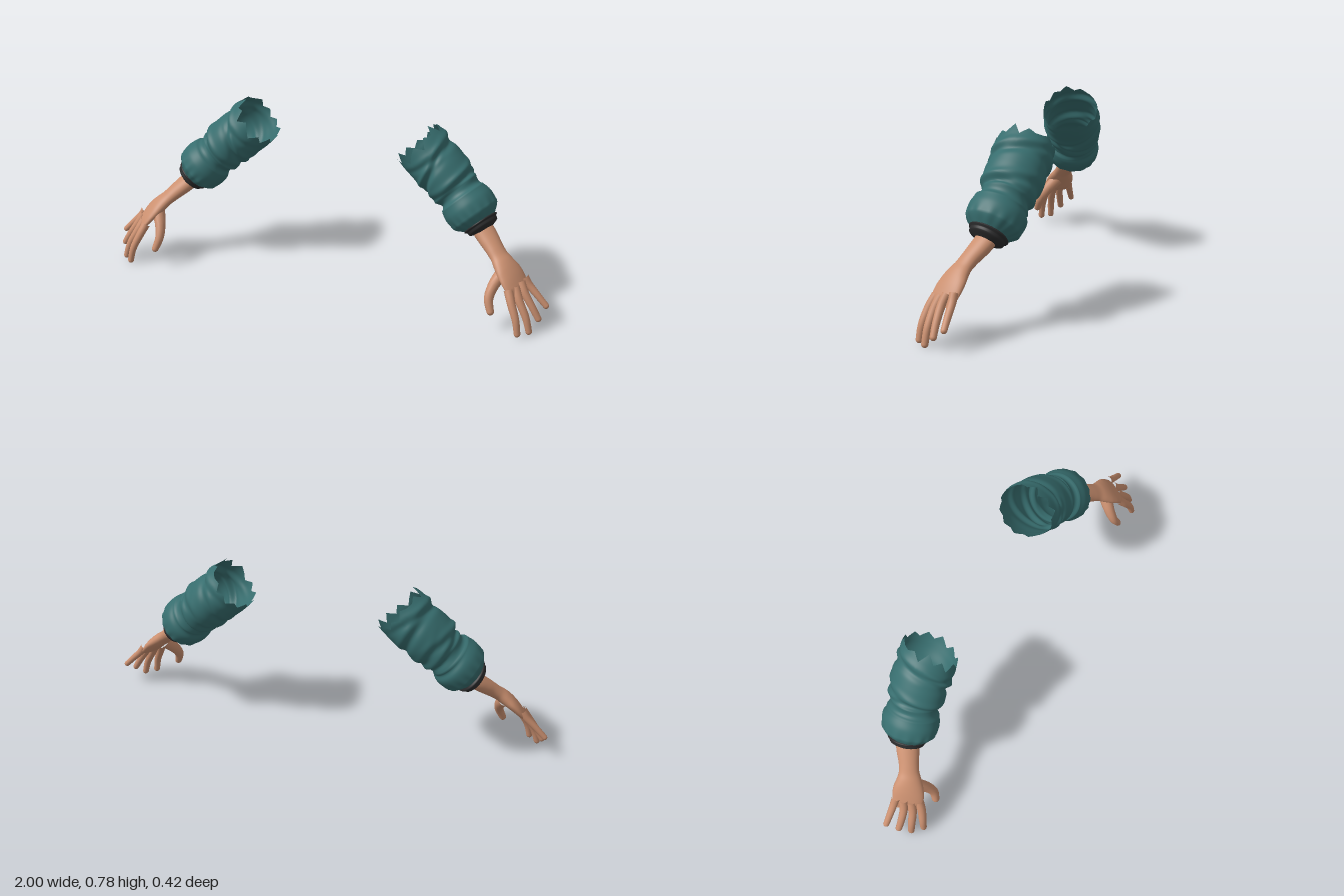
import * as THREE from 'three';

const vec = (p) => new THREE.Vector3(...p);
const spline = (pts) => new THREE.CatmullRomCurve3(pts.map(vec));

// Sweeps an oval section along a path. size(t, angle) gives [depth, width] half sizes,
// shift(t, angle) slides a point along the path. Angle 0 points along "across".
function loft(side, path, across, size, rings, segs, shift = (t) => t) {
  const pos = [], index = [], hint = vec(across);
  for (let i = 0; i <= rings; i++) {
    for (let j = 0; j < segs; j++) {
      const t = i / rings, a = (j / segs) * Math.PI * 2;
      const s = THREE.MathUtils.clamp(shift(t, a), 0, 1);
      const T = path.getTangentAt(s);
      const v = hint.clone().addScaledVector(T, -hint.dot(T)).normalize();
      const u = v.clone().cross(T);
      const [du, dv] = size(s, a);
      const p = path.getPointAt(s)
        .addScaledVector(v, dv * Math.cos(a))
        .addScaledVector(u, du * Math.sin(a));
      pos.push(p.x * side, p.y, p.z);
    }
  }
  for (let i = 0; i < rings; i++) {
    for (let j = 0; j < segs; j++) {
      const a = i * segs + j, b = i * segs + (j + 1) % segs, c = a + segs, d = b + segs;
      if (side > 0) index.push(a, c, b, b, c, d);
      else index.push(a, b, c, b, d, c);
    }
  }
  const g = new THREE.BufferGeometry();
  g.setAttribute('position', new THREE.Float32BufferAttribute(pos, 3));
  g.setIndex(index);
  g.computeVertexNormals();
  return g;
}

// Smooth [depth, width] profile through evenly spaced stations
function profile(stations) {
  const c = spline(stations.map(([a, b]) => [a, b, 0]));
  return (t) => { const p = c.getPoint(t); return [p.x, p.y]; };
}

// Cloth folds: [position, slant, facing angle, depth, width]
const FOLDS = [
  [0.20, 0.07, 0.6, 0.07, 0.035],
  [0.33, -0.09, 2.2, 0.08, 0.04],
  [0.44, 0.10, 4.0, 0.09, 0.035],
  [0.54, 0.06, 0.2, 0.09, 0.035],
  [0.62, -0.05, 1.4, 0.08, 0.03],
  [0.69, 0.03, 3.2, 0.09, 0.03],
  [0.30, 0.12, 5.2, 0.06, 0.03],
];
// Torn edge: how far each tooth is cut back
const TEAR = [0.10, 0.06, 0.14, 0.05, 0.09, 0.0, 0.11, 0.04, 0.07, 0.06, 0.03, 0.09,
  0.05, 0.10, 0.04, 0.08, 0.02, 0.07, 0.01, 0.10, 0.04, 0.12, 0.07, 0.15];

function tear(a) {
  const x = (a / (Math.PI * 2)) * TEAR.length, i = Math.floor(x);
  return THREE.MathUtils.lerp(TEAR[i % TEAR.length], TEAR[(i + 1) % TEAR.length], x - i);
}

const sleeveProfile = profile([[0.106, 0.12], [0.112, 0.124], [0.114, 0.127], [0.112, 0.127],
  [0.112, 0.126], [0.110, 0.122], [0.106, 0.117], [0.106, 0.117], [0.113, 0.124], [0.108, 0.117], [0.062, 0.068]]);

function sleeveSize(t, a) {
  let k = 1;
  for (const [t0, slant, facing, depth, width] of FOLDS) {
    const d = (t - t0 - slant * Math.cos(a - facing)) / width;
    const fade = 0.5 + 0.5 * Math.cos(a - facing - 0.8);
    k += depth * fade * (0.45 * Math.exp(-((d + 1.7) ** 2)) - Math.exp(-d * d));
  }
  // gathers above the cuff
  k += 0.018 * Math.cos(15 * a + Math.sin(2 * a)) * Math.exp(-(((t - 0.92) / 0.07) ** 2));
  return sleeveProfile(t).map((r) => r * k);
}

// Digits: path points from root to tip, root radius, tip radius
const DIGITS = {
  thumb: [[[0.803, 0.238, 0.085], [0.775, 0.188, 0.128], [0.766, 0.14, 0.16], [0.785, 0.077, 0.184]], 0.029, 0.014],
  indexFinger: [[[0.842, 0.185, 0.138], [0.862, 0.14, 0.162], [0.89, 0.075, 0.183], [0.905, 0.002, 0.193]], 0.019, 0.013],
  middleFinger: [[[0.864, 0.19, 0.112], [0.887, 0.145, 0.132], [0.925, 0.075, 0.148], [0.947, 0.002, 0.155]], 0.019, 0.013],
  ringFinger: [[[0.88, 0.205, 0.083], [0.902, 0.165, 0.098], [0.942, 0.105, 0.107], [0.977, 0.046, 0.11]], 0.018, 0.013],
  littleFinger: [[[0.888, 0.213, 0.052], [0.91, 0.18, 0.053], [0.953, 0.135, 0.057], [0.998, 0.088, 0.06]], 0.017, 0.012],
};

export function createModel() {
  const teal = new THREE.MeshStandardMaterial({ color: 0x376d6e, side: THREE.DoubleSide });
  teal.name = 'teal cloth';
  const black = new THREE.MeshStandardMaterial({ color: 0x2b2b2c, side: THREE.DoubleSide });
  black.name = 'black knit';
  const skin = new THREE.MeshStandardMaterial({ color: 0xcb9070 });
  skin.name = 'skin';

  const model = new THREE.Group();
  model.name = 'arms';

  for (const side of [1, -1]) {
    const arm = new THREE.Group();
    arm.name = side > 0 ? 'leftArm' : 'rightArm';
    model.add(arm);
    const add = (name, geometry, material) => {
      const mesh = new THREE.Mesh(geometry, material);
      mesh.name = name;
      arm.add(mesh);
    };

    // Puffy sleeve with a torn upper edge
    const sleevePath = spline([[0.345, 0.705, -0.088], [0.43, 0.628, -0.08], [0.51, 0.553, -0.066],
      [0.60, 0.463, -0.042], [0.675, 0.388, -0.018]]);
    add('sleeve', loft(side, sleevePath, [0, 0, 1], sleeveSize, 90, 96,
      (t, a) => t + tear(a) * Math.max(0, 1 - t / 0.35) ** 2), teal);

    // Knit cuff, turned in around the forearm
    const cuffPath = spline([[0.645, 0.417, -0.03], [0.67, 0.392, -0.02], [0.694, 0.368, -0.01]]);
    add('cuff', loft(side, cuffPath, [0, 0, 1],
      profile([[0.066, 0.074], [0.069, 0.078], [0.07, 0.079], [0.07, 0.079], [0.067, 0.076], [0.036, 0.045]]),
      20, 40), black);

    // Forearm, wrist and palm in one sweep
    const armPath = spline([[0.645, 0.405, -0.03], [0.69, 0.362, -0.008], [0.757, 0.302, 0.038],
      [0.80, 0.263, 0.064], [0.837, 0.225, 0.082], [0.867, 0.187, 0.098], [0.892, 0.156, 0.109]]);
    add('forearmAndPalm', loft(side, armPath, [-0.03, -0.03, 0.11],
      profile([[0.034, 0.05], [0.036, 0.051], [0.036, 0.05], [0.034, 0.047], [0.031, 0.043], [0.028, 0.043],
        [0.029, 0.053], [0.027, 0.064], [0.023, 0.068], [0.018, 0.066], [0.001, 0.045]]),
      50, 36), skin);

    // Fingers and thumb with rounded tips
    for (const [name, [points, r0, r1]] of Object.entries(DIGITS)) {
      const path = spline(points), tip = 1 - r1 / path.getLength();
      const size = (t) => {
        const round = t > tip ? Math.sqrt(Math.max(0, 1 - ((t - tip) / (1 - tip)) ** 2)) : 1;
        const r = THREE.MathUtils.lerp(r0, r1, t) * round;
        return [r, r * 1.08];
      };
      add(name, loft(side, path, [-0.03, -0.03, 0.11], size, 36, 18, (t) => 1 - (1 - t) ** 1.5), skin);
    }
  }
  return model;
}
